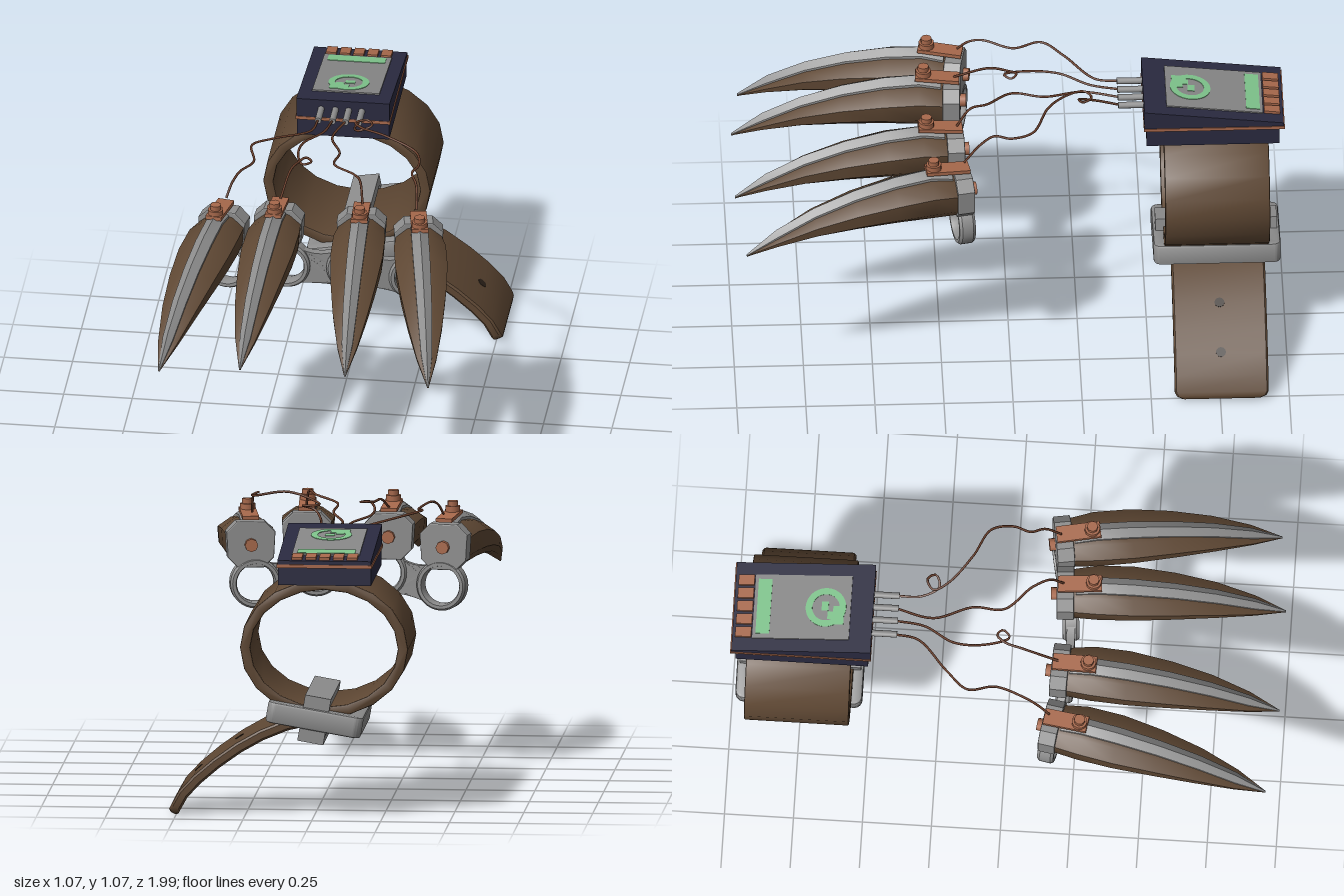
import * as THREE from 'three';
import { toCreasedNormals } from 'three/addons/utils/BufferGeometryUtils.js';

const mat = (name, color, side = THREE.FrontSide) => {
  const m = new THREE.MeshStandardMaterial({ color, side });
  m.name = name;
  return m;
};

// Skin a list of equal-length cross-sections, capped at both ends.
function loft(sections, crease = 0.7) {
  const n = sections[0].length, idx = [], last = (sections.length - 1) * n;
  for (let i = 0; i < sections.length - 1; i++) {
    for (let j = 0; j < n; j++) {
      const a = i * n + j, b = i * n + (j + 1) % n;
      idx.push(a, b, b + n, a, b + n, a + n);
    }
  }
  for (let j = 1; j < n - 1; j++) idx.push(0, j + 1, j, last, last + j, last + j + 1);
  const g = new THREE.BufferGeometry();
  g.setAttribute('position', new THREE.Float32BufferAttribute(sections.flat(2), 3));
  g.setIndex(idx);
  return toCreasedNormals(g, crease);
}

export function createModel() {
  const leather = mat('brown leather', 0x5e4733);
  const steel = mat('steel', 0x8e8e8e);
  const navy = mat('dark navy casing', 0x2a2a40);
  const copper = mat('copper', 0xa8694c);
  const wireMat = mat('wire', 0x6a3f2c);
  const glass = mat('screen grey', 0x878787);
  const green = mat('screen green', 0x7fc48c);
  const dark = mat('dark hole', 0x2c2119);

  const root = new THREE.Group();
  const add = (parent, name, geo, m, x = 0, y = 0, z = 0, rx = 0, ry = 0, rz = 0) => {
    const mesh = new THREE.Mesh(geo, m);
    mesh.name = name;
    mesh.position.set(x, y, z);
    mesh.rotation.set(rx, ry, rz);
    parent.add(mesh);
    return mesh;
  };
  const group = (name, x = 0, y = 0, z = 0) => {
    const g = new THREE.Group();
    g.name = name;
    g.position.set(x, y, z);
    root.add(g);
    return g;
  };
  const box = (x, y, z) => new THREE.BoxGeometry(x, y, z);
  const cyl = (r, h, n = 16) => new THREE.CylinderGeometry(r, r, h, n);
  const extrude = (shape, depth, bevel = 0) => new THREE.ExtrudeGeometry(shape, {
    depth, curveSegments: 24, bevelEnabled: bevel > 0, bevelSize: bevel, bevelThickness: bevel, bevelSegments: 2 });

  // Wrist band
  const ellipse = (rx, ry) => Array.from({ length: 20 }, (_, i) => {
    const a = i * Math.PI / 10;
    return new THREE.Vector2(Math.cos(a) * rx, Math.sin(a) * ry);
  });
  const band = new THREE.Shape(ellipse(0.299, 0.246));
  band.holes.push(new THREE.Path(ellipse(0.274, 0.221)));
  add(root, 'wristBand', toCreasedNormals(extrude(band, 0.368, 0.006), 0.6), leather, -0.04, 0.63, -0.934);

  // Loose strap end with rounded tip
  const path = new THREE.CatmullRomCurve3([[-0.12, 0.375], [0.04, 0.36], [0.17, 0.315], [0.285, 0.25],
    [0.395, 0.165], [0.47, 0.09], [0.512, 0.014]].map(([x, y]) => new THREE.Vector3(x, y, -0.755)));
  const stations = [0, 0.12, 0.24, 0.36, 0.48, 0.6, 0.72, 0.84, 0.95, 0.98, 1];
  add(root, 'strapTail', loft(stations.map((t) => {
    const p = path.getPoint(t), d = path.getTangent(t);
    const w = t === 1 ? 0.14 : t === 0.98 ? 0.162 : 0.17, h = t === 1 ? 0.012 : 0.019;
    return [[-1, -0.96], [-0.6, -1], [0.6, -1], [1, -0.96], [1, 0.96], [0.6, 1], [-0.6, 1], [-1, 0.96]]
      .map(([u, v]) => [p.x - d.y * u * h, p.y + d.x * u * h, p.z + v * w]);
  })), leather);
  [0.48, 0.71].forEach((t) => {
    const p = path.getPoint(t), d = path.getTangent(t);
    add(root, 'strapHole', cyl(0.018, 0.04), dark, p.x, p.y, -0.755, 0, 0, Math.atan2(d.y, d.x));
  });

  // Buckle
  const buckle = group('buckle', -0.007, 0.373, -0.752);
  buckle.rotation.z = 0.171;
  const rect = (w, h, r, P) => {
    const s = new P(), x = w / 2, y = h / 2;
    s.absarc(x - r, y - r, r, 0, Math.PI / 2);
    s.absarc(r - x, y - r, r, Math.PI / 2, Math.PI);
    s.absarc(r - x, r - y, r, Math.PI, Math.PI * 1.5);
    s.absarc(x - r, r - y, r, Math.PI * 1.5, Math.PI * 2);
    s.closePath();
    return s;
  };
  const frame = rect(0.33, 0.44, 0.02, THREE.Shape);
  frame.holes.push(rect(0.23, 0.35, 0.01, THREE.Path));
  add(buckle, 'buckleFrame', toCreasedNormals(extrude(frame, 0.058, 0.01), 0.7), steel, 0, -0.029, 0, -Math.PI / 2);
  [-1, 1].forEach((s) => {
    add(buckle, 'buckleBar', box(0.095, 0.03, 0.44), steel, 0, s * 0.07, 0);
    add(buckle, 'buckleBarEnd', box(0.095, 0.17, 0.03), steel, 0, 0, s * 0.205);
  });

  // Wrist computer: lower case, copper seam and wedge lid
  const device = group('wristComputer', -0.045, 0, -0.7375);
  add(device, 'lowerCase', box(0.336, 0.07, 0.48), navy, 0, 0.902, 0);
  add(device, 'copperSeam', box(0.346, 0.012, 0.51), copper, 0, 0.939, -0.005);
  const wedge = new THREE.Shape([[-0.248, 0.945], [0.256, 0.945], [0.256, 0.959], [-0.248, 1.017]]
    .map(([a, b]) => new THREE.Vector2(a, b)));
  add(device, 'wedgeLid', extrude(wedge, 0.34), navy, -0.17, 0, 0, 0, Math.PI / 2);
  const face = new THREE.Group();
  face.name = 'lidFace';
  face.position.set(0, 0.9885, 0);
  face.rotation.x = -0.1146;
  device.add(face);
  add(face, 'screen', box(0.245, 0.006, 0.352), glass, 0, 0.002, -0.008);
  add(face, 'screenBar', box(0.21, 0.004, 0.05), green, 0, 0.005, -0.148);
  const ring = new THREE.Shape().absarc(0, 0, 0.074, 0, Math.PI * 2);
  ring.holes.push(new THREE.Path().absarc(0, 0, 0.05, 0, Math.PI * 2));
  add(face, 'screenDial', extrude(ring, 0.003), green, 0, 0.004, 0.078, -Math.PI / 2);
  [[-0.03, 0.125, 0.07, 0.04], [0.005, 0.075, 0.035, 0.025], [-0.03, 0.1, 0.03, 0.03]]
    .forEach(([x, z, w, d]) => add(face, 'screenBlock', box(w, 0.003, d), green, x, 0.0055, z));
  for (let i = -2; i <= 2; i++) add(face, 'copperContact', box(0.038, 0.02, 0.058), copper, i * 0.05, 0, -0.217);

  // Front sockets and their wires; each wire runs from a socket to a claw
  const wires = [
    [[-0.124, 0.98, -0.41], [-0.14, 0.98, -0.32], [-0.26, 1.0, -0.21], [-0.33, 1.01, -0.13], [-0.31, 1.0, -0.03],
      [-0.35, 1.01, 0.08], [-0.37, 0.99, 0.13], [-0.385, 0.95, 0.17]],
    [[-0.072, 0.98, -0.41], [-0.09, 0.99, -0.3], [-0.15, 1.0, -0.19], [-0.155, 1.01, -0.08], [-0.125, 1.02, 0.01],
      [-0.098, 1.02, -0.015], [-0.12, 1.025, -0.035], [-0.145, 1.02, -0.005], [-0.165, 1.02, 0.06], [-0.185, 0.97, 0.19]],
    [[-0.024, 0.98, -0.41], [-0.055, 0.985, -0.27], [-0.01, 1.0, -0.13], [-0.015, 1.015, -0.015], [0.07, 1.03, 0.08],
      [0.1, 1.035, 0.14], [0.115, 0.97, 0.19]],
    [[0.024, 0.98, -0.41], [0.02, 1.0, -0.32], [0.05, 1.03, -0.255], [0.09, 1.045, -0.27], [0.07, 1.05, -0.3],
      [0.03, 1.05, -0.275], [0.06, 1.06, -0.22], [0.16, 1.075, -0.14], [0.275, 1.05, -0.08], [0.295, 1.04, 0],
      [0.278, 1.04, 0.06], [0.3, 1.02, 0.11], [0.31, 0.95, 0.17]],
  ];
  wires.forEach((pts) => {
    add(root, 'socket', cyl(0.012, 0.1, 12), steel, pts[0][0], 0.98, -0.448, Math.PI / 2);
    const curve = new THREE.CatmullRomCurve3(pts.map((p) => new THREE.Vector3(...p)));
    add(root, 'wire', new THREE.TubeGeometry(curve, 80, 0.0045, 6), wireMat);
  });

  // Claws: [distance along, top y, bottom y, half width, blade half width]
  const profile = [[0.02, 0.935, 0.785, 0.082, 0.03], [0.12, 0.95, 0.79, 0.094, 0.031], [0.25, 0.935, 0.792, 0.095, 0.031],
    [0.4, 0.9, 0.784, 0.083, 0.029], [0.55, 0.846, 0.768, 0.064, 0.026], [0.69, 0.772, 0.738, 0.037, 0.02],
    [0.8, 0.702, 0.697, 0.003, 0.003]];
  const bodyRim = [[1, 0.72], [0.5, 0.95], [0, 1], [-0.5, 0.95], [-1, 0.72], [-0.95, 0.28], [-0.55, 0.03],
    [0, 0], [0.55, 0.03], [0.95, 0.28]];
  const bladeRim = [[1, 0.005], [0, 0.026], [-1, 0.005], [-1, -0.025], [1, -0.025]];
  const bodyGeo = loft(profile.map(([z, t, b, w]) => bodyRim.map(([u, v]) => [u * w, b + (t - b) * v, z])));
  const bladeGeo = loft(profile.map(([z, t, , , w], i) => {
    const k = i === profile.length - 1 ? 0.2 : 1;
    return bladeRim.map(([u, v]) => [u * w, t + v * k, z + (i === 0 ? 0.02 : 0)]);
  }), 0.3);
  const blockGeo = extrude(new THREE.Shape([[0.045, 0.785], [0.08, 0.82], [0.085, 0.91], [0.05, 0.945],
    [-0.05, 0.945], [-0.085, 0.91], [-0.08, 0.82], [-0.045, 0.785]].map((p) => new THREE.Vector2(...p))), 0.055, 0.004);
  // [offset from centre, height shift, base z, yaw, pitch]
  [[0.15, 0, 0.195, 0.052, 0], [0.352, -0.033, 0.165, 0.172, 0.013]].forEach(([dx, dy, z, yaw, pitch]) => {
    [-1, 1].forEach((s) => {
      const claw = group(s > 0 ? 'leftClaw' : 'rightClaw', -0.037 + s * dx, dy, z);
      claw.rotation.set(pitch, s * yaw, 0, 'YXZ');
      add(claw, 'clawBody', bodyGeo, leather);
      add(claw, 'clawBlade', bladeGeo, steel);
      add(claw, 'clawBlock', blockGeo, steel, 0, 0, -0.025);
      add(claw, 'blockBolt', cyl(0.024, 0.024, 8), copper, 0, 0.865, -0.038, Math.PI / 2);
      add(claw, 'terminalPlate', box(0.06, 0.014, 0.16), copper, 0, 0.968, 0.055, -0.08);
      add(claw, 'terminalPost', cyl(0.028, 0.028, 12), copper, 0, 0.984, 0.105);
      add(claw, 'terminalCap', cyl(0.02, 0.02, 8), copper, 0, 1.006, 0.105);
    });
  });

  // Finger rings joined by curved webs
  const cx = -0.04, bend = (x) => 0.225 - 0.42 * (x - cx) ** 2;
  const rings = [[-0.38, 0.69], [-0.16, 0.73], [0.08, 0.73], [0.3, 0.69]];
  const ringGeo = toCreasedNormals(new THREE.LatheGeometry([[0.073, -0.03], [0.085, -0.03], [0.092, -0.02], [0.092, 0.02],
    [0.085, 0.03], [0.073, 0.03], [0.068, 0.015], [0.068, -0.015], [0.073, -0.03]]
    .map((p) => new THREE.Vector2(...p)), 32), 0.5);
  rings.forEach(([x, y]) => {
    const g = group('fingerRing', x, y, bend(x));
    g.rotation.y = (x - cx) * 0.6;
    add(g, 'ringBody', ringGeo, steel, 0, 0, 0, Math.PI / 2);
  });
  for (let i = 0; i < 3; i++) {
    const [ax, ay] = rings[i], [bx, by] = rings[i + 1], r = 0.083, t = 1.15;
    const mx = (ax + bx) / 2, my = (ay + by) / 2;
    const web = new THREE.Shape();
    web.absarc(ax, ay, r, -t, t, false);
    web.quadraticCurveTo(mx, my + 0.03, bx - r * Math.cos(t), by + r * Math.sin(t));
    web.absarc(bx, by, r, Math.PI - t, Math.PI + t, false);
    web.quadraticCurveTo(mx, my - 0.06, ax + r * Math.cos(t), ay - r * Math.sin(t));
    const geo = extrude(web, 0.03), p = geo.attributes.position;
    for (let k = 0; k < p.count; k++) p.setZ(k, p.getZ(k) - 0.015 + bend(p.getX(k)));
    geo.computeVertexNormals();
    add(root, 'ringWeb', geo, steel);
  }
  return root;
}
